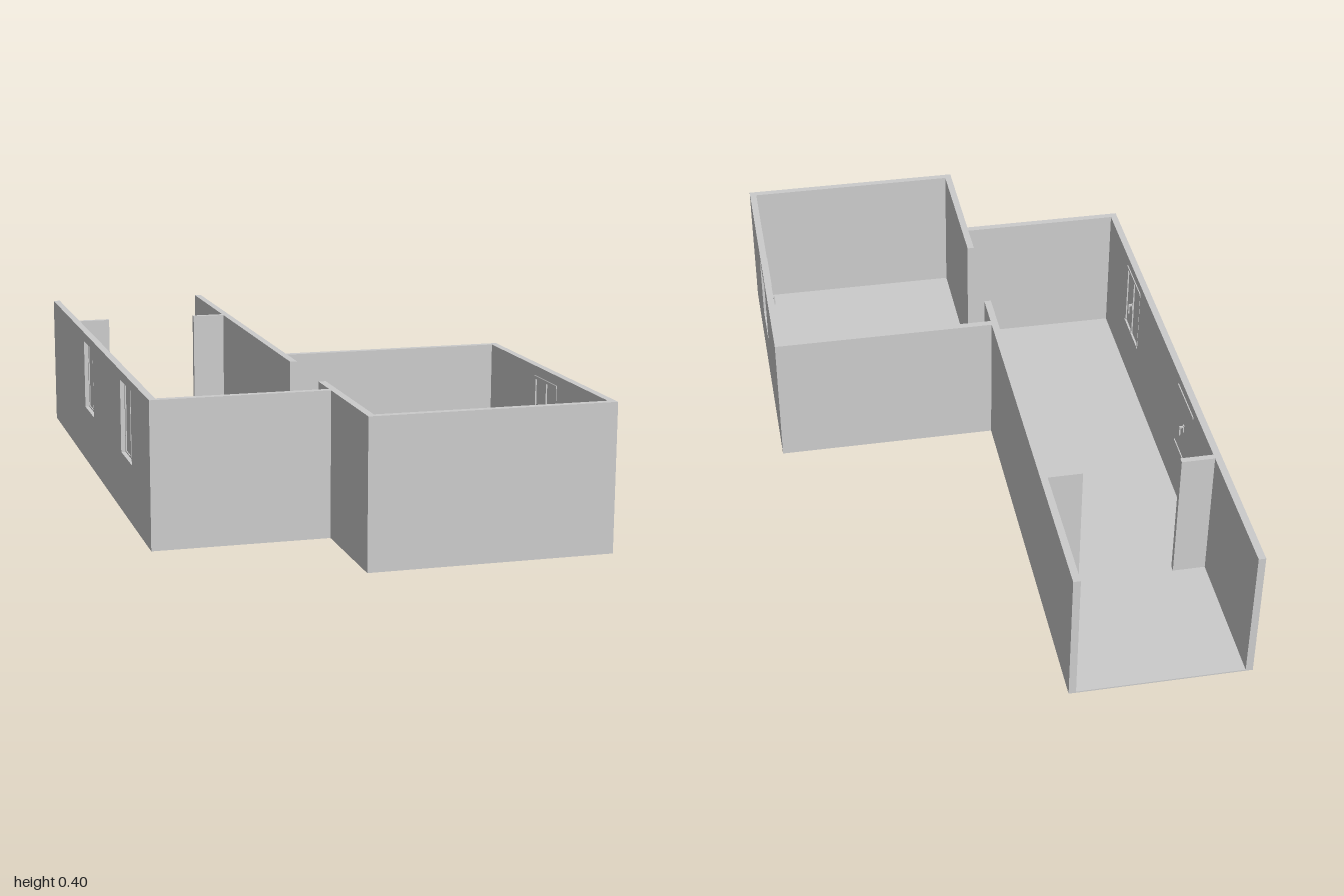
import * as THREE from 'three';

const H = 0.4;        // wall height
const T = 0.02;       // wall thickness
const WIN = { w: 0.16, y0: 0.168, y1: 0.373 };
const mat = new THREE.MeshStandardMaterial({ color: 0xcccccc, flatShading: true });

// Box given by its limits on each axis
function block(name, x0, x1, y0, y1, z0, z1) {
  const mesh = new THREE.Mesh(new THREE.BoxGeometry(x1 - x0, y1 - y0, z1 - z0), mat);
  mesh.position.set((x0 + x1) / 2, (y0 + y1) / 2, (z0 + z1) / 2);
  mesh.name = name;
  return mesh;
}

// Wall running along z, with window openings cut through it
function windowWall(name, x0, z0, z1, windowZs) {
  const shape = new THREE.Shape();
  shape.moveTo(z0, 0).lineTo(z1, 0).lineTo(z1, H).lineTo(z0, H).closePath();
  for (const z of windowZs) {
    const a = z - WIN.w / 2, b = z + WIN.w / 2;
    const hole = new THREE.Path();
    hole.moveTo(a, WIN.y0).lineTo(a, WIN.y1).lineTo(b, WIN.y1).lineTo(b, WIN.y0).closePath();
    shape.holes.push(hole);
  }
  const geo = new THREE.ExtrudeGeometry(shape, { depth: T, bevelEnabled: false });
  geo.rotateY(-Math.PI / 2);
  const mesh = new THREE.Mesh(geo, mat);
  mesh.position.x = x0 + T;
  mesh.name = name;
  return mesh;
}

// Two-pane window; local x = 0 is the inner wall face, +x points into the room
function makeWindow(blind) {
  const g = new THREE.Group();
  g.name = 'window';
  const { w, y0, y1 } = WIN, h = w / 2, f = 0.008, back = -0.008;
  g.add(
    block('windowHead', back, 0.003, y1 - f, y1, -h, h),
    block('windowSill', back, 0.003, y0, y0 + f / 2, -h, h),
    block('glass', -0.005, -0.003, y0, y1, -h, h)
  );
  for (const z of [-h + f / 2, 0, h - f / 2]) {
    g.add(block('windowPost', back, blind ? -0.001 : 0.001, y0, y1, z - f / 2, z + f / 2));
  }
  // Handle: plate, stem and lever
  const y = (y0 + y1) / 2;
  g.add(
    block('handlePlate', -0.001, 0.003, y - 0.012, y + 0.012, -0.003, 0.003),
    block('handleStem', 0.002, 0.014, y + 0.004, y + 0.009, -0.0025, 0.0025),
    block('handleLever', 0.010, 0.014, y - 0.022, y + 0.009, -0.0025, 0.0025)
  );
  // Plain inner lining that closes the opening towards the room
  if (blind) g.add(block('innerLining', -0.002, 0, y0, y1, -h, h));
  return g;
}

export function createModel() {
  const house = new THREE.Group();
  house.name = 'floorPlan';
  const L = -0.573, R = 0.573;      // outer side faces
  const D0 = -0.09, D1 = -0.07;     // dividing wall
  const hallFront = 0.67, roomBack = 0.132;

  // Floors of the long hall and the square room
  house.add(
    block('hallFloor', L, D1, 0, 0.004, -1, hallFront),
    block('roomFloor', D1, R, 0, 0.004, roomBack, 1),
    block('roomFloorEdge', D0, D1, 0, 0.004, hallFront, 1)
  );

  // Outer walls
  house.add(
    windowWall('hallSideWall', L, -1, hallFront, [-0.29, 0.33]),
    windowWall('roomSideWall', R - T, roomBack, 1, [0.57]),
    block('hallFrontWall', L + T, D0, 0, H, hallFront - T, hallFront),
    block('roomFrontWall', D1, R - T, 0, H, 1 - T, 1),
    block('roomBackWall', D1, R - T, 0, H, roomBack, roomBack + T)
  );

  // Dividing wall with a full-height opening between hall and room
  house.add(
    block('dividingWallBack', D0, D1, 0, H, -1, 0.256),
    block('dividingWallFront', D0, D1, 0, H, 0.55, 1)
  );

  // Partition stubs across the hall
  house.add(
    block('partitionStub', L + T, -0.46, 0, H, -0.588, -0.571),
    block('partitionStub', -0.187, D0, 0, H, -0.588, -0.571)
  );

  // Windows: two in the hall, one in the room
  for (const [x, z, turn, blind] of [
    [L + T, -0.29, 0, true],
    [L + T, 0.33, 0, false],
    [R - T, 0.57, Math.PI, false],
  ]) {
    const win = makeWindow(blind);
    win.position.set(x, 0, z);
    win.rotation.y = turn;
    house.add(win);
  }
  return house;
}
